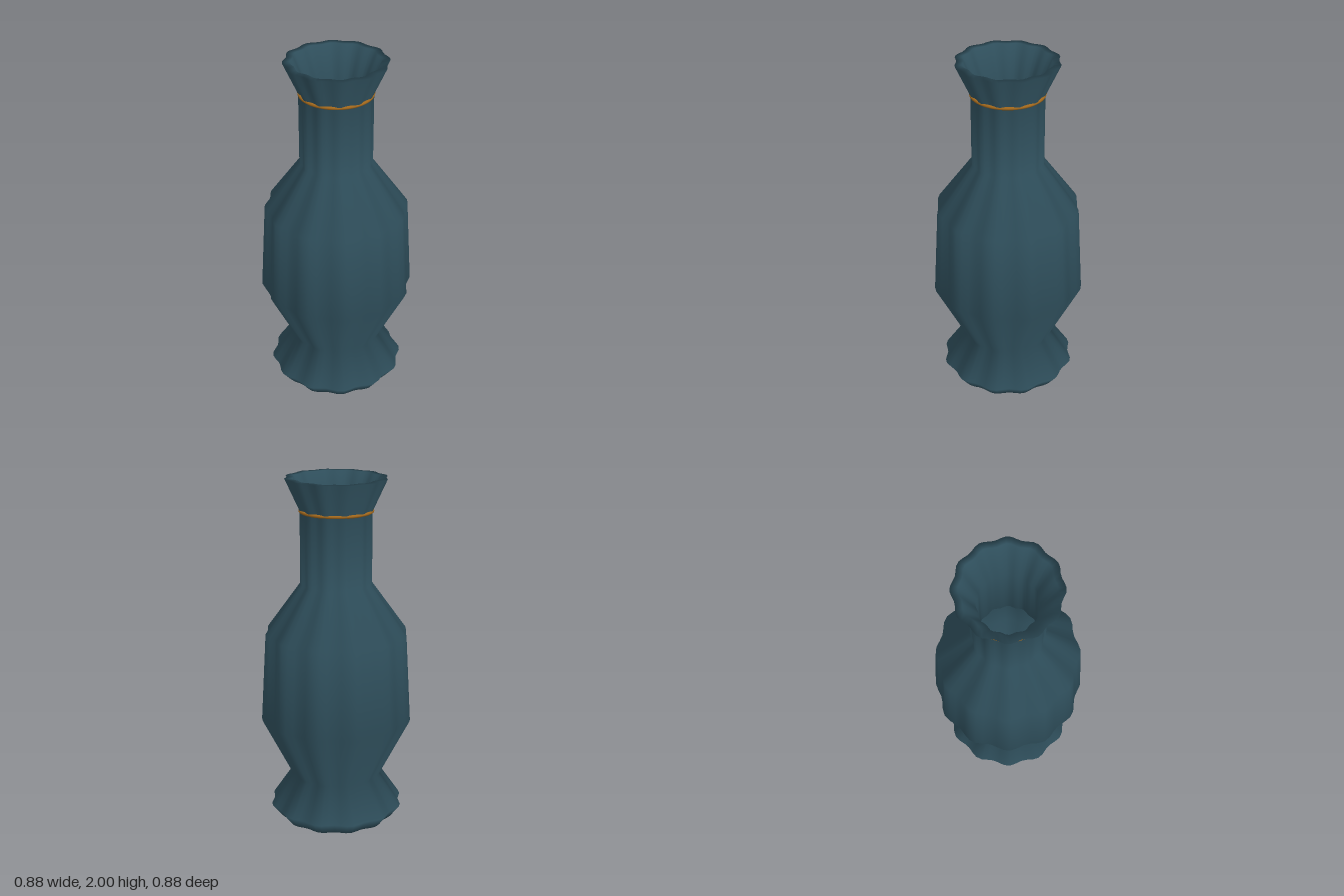
import * as THREE from 'three';
import { mergeVertices } from 'three/addons/utils/BufferGeometryUtils.js';

const LOBES = 12, RIPPLE = 0.03, SEGMENTS = 64;

// Lathe whose radius ripples around the axis, with seamless smooth normals
function flutedLathe(profile) {
  const points = profile.map(([r, y]) => new THREE.Vector2(r / (1 + RIPPLE), y));
  let geo = new THREE.LatheGeometry(points, SEGMENTS);
  const pos = geo.attributes.position;
  for (let i = 0; i < pos.count; i++) {
    const x = pos.getX(i), z = pos.getZ(i);
    const k = 1 + RIPPLE * Math.cos(LOBES * Math.atan2(z, x));
    pos.setX(i, x * k);
    pos.setZ(i, z * k);
  }
  geo.deleteAttribute('uv');
  geo.deleteAttribute('normal');
  geo = mergeVertices(geo, 1e-5);
  geo.computeVertexNormals();
  return geo;
}

export function createModel() {
  const group = new THREE.Group();
  group.name = 'vase';
  const glaze = new THREE.MeshStandardMaterial({ color: 0x2f4f5c });
  glaze.name = 'blue glaze';
  const gold = new THREE.MeshStandardMaterial({ color: 0xa0671c });
  gold.name = 'gold';

  // Outside from the base up, over the rim and down the hollow inside
  const body = new THREE.Mesh(flutedLathe([
    [0, 0], [0.335, 0], [0.39, 0.07], [0.262, 0.26], [0.44, 0.61], [0.41, 1.12],
    [0.207, 1.4], [0.207, 1.82], [0.29, 2],
    [0.25, 2], [0.167, 1.81], [0.167, 1.39], [0.37, 1.1], [0.4, 0.62], [0.222, 0.27],
    [0.2, 0.1], [0, 0.1],
  ]), glaze);
  body.name = 'body';
  group.add(body);

  // Thin band where the neck flares into the mouth
  const band = new THREE.Mesh(new THREE.TorusGeometry(0.201, 0.009, 10, SEGMENTS), gold);
  band.name = 'neckBand';
  band.rotation.x = Math.PI / 2;
  band.position.y = 1.817;
  group.add(band);

  return group;
}
